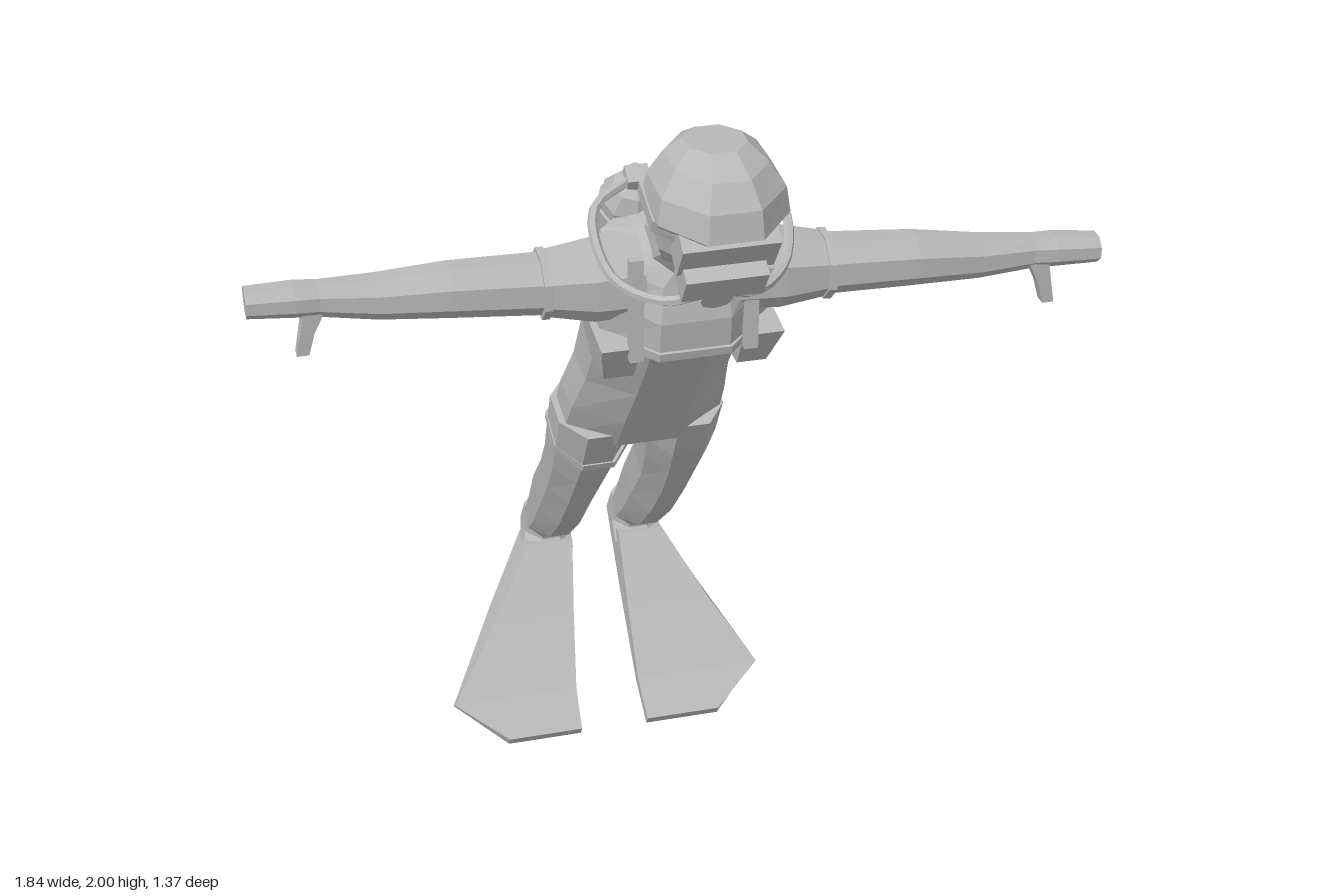
import * as THREE from 'three';

const grey = new THREE.MeshStandardMaterial({ color: 0xb8b8b8, flatShading: true });
grey.name = 'grey';

// Closed skin over a list of rings (arrays of Vector3), turned outward by its signed volume
function loft(name, rings) {
  const n = rings[0].length, tris = [];
  const centre = (r) => r.reduce((s, p) => s.add(p), new THREE.Vector3()).divideScalar(n);
  for (let i = 0; i < rings.length - 1; i++) {
    for (let j = 0; j < n; j++) {
      const k = (j + 1) % n, [a, b, c, d] = [rings[i][j], rings[i][k], rings[i + 1][k], rings[i + 1][j]];
      tris.push([a, b, c], [a, c, d]);
    }
  }
  const first = rings[0], last = rings[rings.length - 1], c0 = centre(first), c1 = centre(last);
  for (let j = 0; j < n; j++) {
    const k = (j + 1) % n;
    tris.push([c0, first[k], first[j]], [c1, last[j], last[k]]);
  }
  const volume = tris.reduce((s, [a, b, c]) => s + a.dot(b.clone().cross(c)), 0);
  const points = tris.flatMap(([a, b, c]) => (volume < 0 ? [a, c, b] : [a, b, c]));
  const geometry = new THREE.BufferGeometry().setFromPoints(points);
  geometry.computeVertexNormals();
  return mesh(name, geometry);
}

function mesh(name, geometry, position = [0, 0, 0], tilt = 0) {
  const m = new THREE.Mesh(geometry, grey);
  m.name = name;
  m.position.set(...position);
  m.rotation.x = tilt;
  return m;
}

// Unit polygon with flat sides on the axes
const polygon = (n) => Array.from({ length: n }, (_, i) => {
  const a = ((i + 0.5) / n) * Math.PI * 2, s = 1 / Math.cos(Math.PI / n);
  return [Math.cos(a) * s, Math.sin(a) * s];
});

// Body ring from front point (z, y), back point (z, y), centre x and half width
const bodyRing = ([fz, fy, bz, by, x, w], n = 8) => polygon(n).map(([c, s]) =>
  new THREE.Vector3(x + c * w, (fy + by) / 2 + (s * (fy - by)) / 2, (fz + bz) / 2 + (s * (fz - bz)) / 2));

const bodyLoft = (name, stations, n) => loft(name, stations.map((s) => bodyRing(s, n)));

// Thin strap around the body between two rings
const strap = (name, a, b) => bodyLoft(name, [a, b]);

function makeHead() {
  const head = new THREE.Group();
  head.name = 'head';
  head.add(bodyLoft('hood', [
    [0.58, 1.995, 0.45, 1.995, 0.005, 0.06], [0.64, 1.96, 0.41, 1.97, 0.005, 0.095],
    [0.675, 1.91, 0.38, 1.92, 0.005, 0.127], [0.683, 1.85, 0.372, 1.88, 0.005, 0.135],
    [0.62, 1.82, 0.365, 1.86, 0.005, 0.127],
  ]));
  head.add(bodyLoft('faceAndNeck', [
    [0.62, 1.84, 0.37, 1.88, 0.005, 0.122], [0.585, 1.75, 0.36, 1.82, 0.005, 0.115],
    [0.53, 1.69, 0.345, 1.79, 0.005, 0.095], [0.45, 1.67, 0.32, 1.77, 0, 0.075],
    [0.37, 1.61, 0.23, 1.73, 0, 0.085],
  ]));
  head.add(strap('maskStrap', [0.64, 1.83, 0.366, 1.915, 0.005, 0.138], [0.62, 1.8, 0.36, 1.885, 0.005, 0.138]));
  head.add(mesh('mask', new THREE.BoxGeometry(0.2, 0.09, 0.06), [0.005, 1.805, 0.605], 0.6));
  head.add(mesh('regulator', new THREE.BoxGeometry(0.17, 0.075, 0.07), [0, 1.74, 0.595], 0.6));
  const mouth = new THREE.CylinderGeometry(0.035, 0.035, 0.06, 8).rotateX(Math.PI / 2);
  head.add(mesh('mouthpiece', mouth, [0, 1.68, 0.54], 0.6));
  return head;
}

function makeTorso() {
  const torso = new THREE.Group();
  torso.name = 'torso';
  torso.add(bodyLoft('vest', [
    [0.39, 1.655, 0.24, 1.73, 0, 0.08], [0.395, 1.61, 0.17, 1.71, 0, 0.165],
    [0.41, 1.53, 0.11, 1.64, 0, 0.185], [0.4, 1.44, 0.04, 1.49, 0, 0.185],
  ]));
  torso.add(strap('vestBelt', [0.41, 1.46, 0.04, 1.51, 0, 0.19], [0.405, 1.44, 0.03, 1.48, 0, 0.19]));
  torso.add(bodyLoft('waistAndHips', [
    [0.35, 1.46, 0.05, 1.5, -0.005, 0.17], [0.285, 1.365, -0.04, 1.37, -0.005, 0.165],
    [0.2, 1.24, -0.1, 1.25, -0.01, 0.165], [0.13, 1.13, -0.15, 1.15, -0.015, 0.18],
    [0.05, 1.02, -0.19, 1.06, -0.015, 0.185],
  ]));
  for (const s of [-1, 1]) {
    torso.add(bodyLoft('vestSidePanel', [
      [0.39, 1.47, 0.12, 1.5, s * 0.155, 0.045], [0.32, 1.365, 0.19, 1.36, s * 0.148, 0.033],
    ], 4));
    torso.add(mesh('shoulderStrap', new THREE.BoxGeometry(0.03, 0.24, 0.02), [s * 0.125, 1.56, 0.385]));
  }
  return torso;
}

function makeArm(side) {
  const arm = new THREE.Group();
  arm.name = side > 0 ? 'leftArm' : 'rightArm';
  // The left arm hangs a little lower and further forward
  const ring = ([x, y, z, ry, rz]) => {
    const t = side > 0 ? Math.max(0, (x - 0.15) / 0.77) : 0;
    return polygon(8).map(([c, s]) => new THREE.Vector3(side * x, y - 0.075 * t + s * ry, z + 0.02 * (side > 0) + 0.03 * t + c * rz));
  };
  const add = (name, stations) => arm.add(loft(name, stations.map(ring)));
  add('sleeve', [[0.1, 1.6, 0.28, 0.09, 0.1], [0.2, 1.595, 0.295, 0.083, 0.08], [0.3, 1.6, 0.295, 0.066, 0.066]]);
  add('cuff', [[0.295, 1.6, 0.295, 0.071, 0.071], [0.312, 1.6, 0.295, 0.071, 0.071]]);
  add('forearm', [
    [0.3, 1.6, 0.295, 0.062, 0.062], [0.5, 1.612, 0.295, 0.056, 0.055],
    [0.65, 1.612, 0.288, 0.046, 0.045], [0.78, 1.622, 0.285, 0.036, 0.032],
  ]);
  add('hand', [[0.77, 1.622, 0.285, 0.036, 0.034], [0.82, 1.626, 0.285, 0.036, 0.038], [0.92, 1.63, 0.285, 0.031, 0.035]]);
  const y = side > 0 ? 1.55 : 1.61, z = side > 0 ? 0.34 : 0.29;
  arm.add(bodyLoft('thumb', [
    [z + 0.018, y, z - 0.018, y, side * 0.78, 0.024], [z + 0.016, y - 0.06, z - 0.016, y - 0.06, side * 0.8, 0.015],
    [z + 0.014, y - 0.11, z - 0.014, y - 0.11, side * 0.812, 0.013],
  ], 4));
  return arm;
}

function makeLeg(side) {
  const leg = new THREE.Group();
  leg.name = side > 0 ? 'leftLeg' : 'rightLeg';
  const x = side > 0 ? 0.1 : -0.135;
  leg.add(bodyLoft('thighAndCalf', [
    [0.07, 1.06, -0.18, 1.09, x + side * -0.01, 0.088], [0.0, 0.94, -0.22, 1.0, x - side * 0.008, 0.085],
    [-0.06, 0.86, -0.27, 0.9, x - side * 0.004, 0.077], [-0.165, 0.73, -0.34, 0.82, x, 0.068],
    [-0.29, 0.59, -0.45, 0.71, x, 0.066], [-0.42, 0.47, -0.56, 0.56, x, 0.059],
    [-0.515, 0.405, -0.64, 0.45, x, 0.055],
  ]));
  // Shoe and fanned blade; the right fin turns further out
  const spread = side > 0 ? 0.06 : 0;
  const section = (tz, ty, bz, by, inner, outer) =>
    [tz, ty, bz, by, x + (side * (inner + outer)) / 2, (outer - inner) / 2];
  leg.add(bodyLoft('shoe', [
    section(-0.525, 0.435, -0.635, 0.475, -0.055, 0.055), section(-0.53, 0.39, -0.685, 0.395, -0.06, 0.06),
    section(-0.5, 0.35, -0.625, 0.345, -0.06, 0.07),
  ]));
  leg.add(bodyLoft('finBlade', [
    section(-0.52, 0.385, -0.64, 0.355, -0.055, 0.062),
    section(-0.4, 0.24, -0.485, 0.225, -0.03 - spread / 2, 0.18 - spread / 2),
    section(-0.265, 0.095, -0.29, 0.075, -0.005 - spread, 0.315 - spread),
    section(-0.18, 0.025, -0.195, 0.0, 0 - spread, 0.19 - spread),
  ], 4));
  if (side < 0) {
    leg.add(strap('thighStrap', [0.01, 0.95, -0.222, 1.035, x + 0.012, 0.092], [0.0, 0.93, -0.23, 1.015, x + 0.012, 0.092]));
    leg.add(mesh('strapBuckle', new THREE.BoxGeometry(0.05, 0.05, 0.02), [x, 1.045, -0.205], 0.5));
  }
  return leg;
}

function makeTank(side) {
  const tank = new THREE.Group();
  tank.name = side > 0 ? 'leftTank' : 'rightTank';
  const profile = [[0, -0.2], [0.045, -0.195], [0.068, -0.155], [0.068, 0.15], [0.045, 0.188], [0, 0.2]];
  tank.add(mesh('cylinder', new THREE.LatheGeometry(profile.map((p) => new THREE.Vector2(...p)), 8)));
  for (const y of [-0.11, 0.11]) tank.add(mesh('tankBand', new THREE.CylinderGeometry(0.075, 0.075, 0.022, 8), [0, y, 0]));
  tank.add(mesh('valveStem', new THREE.CylinderGeometry(0.018, 0.022, 0.05, 8), [0, 0.215, 0]));
  tank.add(mesh('valveKnob', new THREE.BoxGeometry(0.05, 0.025, 0.045), [0, 0.235, 0.015]));
  tank.position.set(side > 0 ? 0.097 : -0.083, 1.59, 0.105);
  tank.rotation.x = 0.49;
  return tank;
}

// Air hose from the mouthpiece round the shoulder to the tank valve
function makeHose(side) {
  const path = [[0.02, 1.68, 0.56], [0.1, 1.65, 0.52], [0.18, 1.665, 0.44], [0.205, 1.72, 0.37],
    [0.19, 1.765, 0.3], [0.095, 1.785, 0.225]];
  const curve = new THREE.CatmullRomCurve3(path.map(([x, y, z]) => new THREE.Vector3(side * x, y, z)));
  return mesh('airHose', new THREE.TubeGeometry(curve, 16, 0.011, 6));
}

export function createModel() {
  const model = new THREE.Group();
  model.name = 'diver';
  model.add(makeHead(), makeTorso());
  for (const side of [-1, 1]) model.add(makeArm(side), makeLeg(side), makeTank(side), makeHose(side));
  return model;
}
